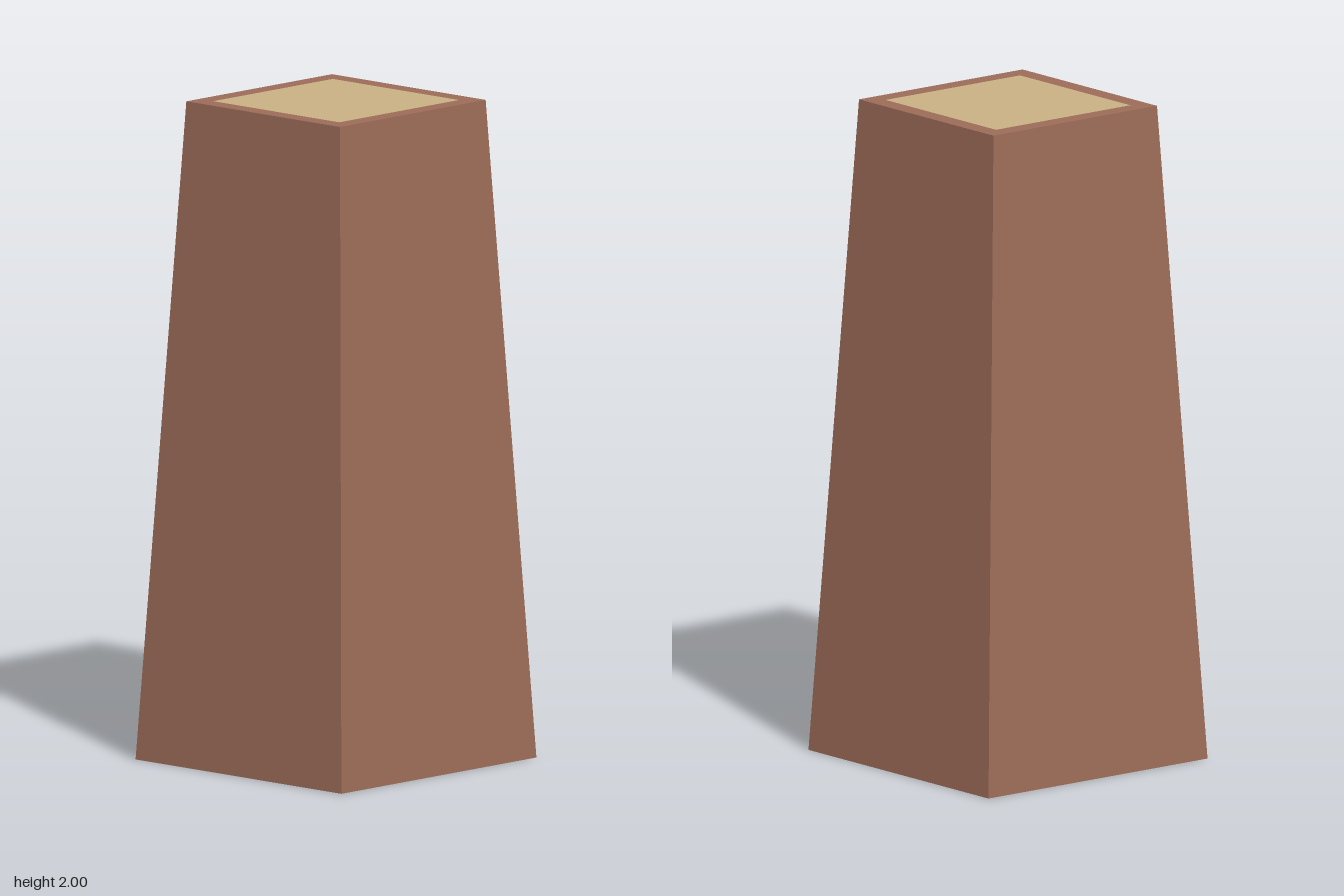
import * as THREE from 'three';

const BOTTOM = 0.6, TOP = 0.448, PANEL = 0.368, HEIGHT = 2;

export function createModel() {
  const group = new THREE.Group();
  const brown = new THREE.MeshStandardMaterial({ color: 0x9c6b58, flatShading: true, side: THREE.DoubleSide });
  const cream = new THREE.MeshStandardMaterial({ color: 0xc9b084, flatShading: true, side: THREE.DoubleSide });

  const add = (name, geometry, material, y) => {
    const mesh = new THREE.Mesh(geometry, material);
    mesh.name = name;
    mesh.position.y = y;
    group.add(mesh);
  };

  // Four tapered walls, corners on the axes, open underneath
  add('taperedWalls', new THREE.CylinderGeometry(TOP, BOTTOM, HEIGHT, 4, 1, true), brown, HEIGHT / 2);

  // Flat top: brown rim around a flush light panel
  add('topRim', new THREE.RingGeometry(PANEL, TOP, 4).rotateX(-Math.PI / 2), brown, HEIGHT);
  add('topPanel', new THREE.CircleGeometry(PANEL, 4).rotateX(-Math.PI / 2), cream, HEIGHT);

  return group;
}
